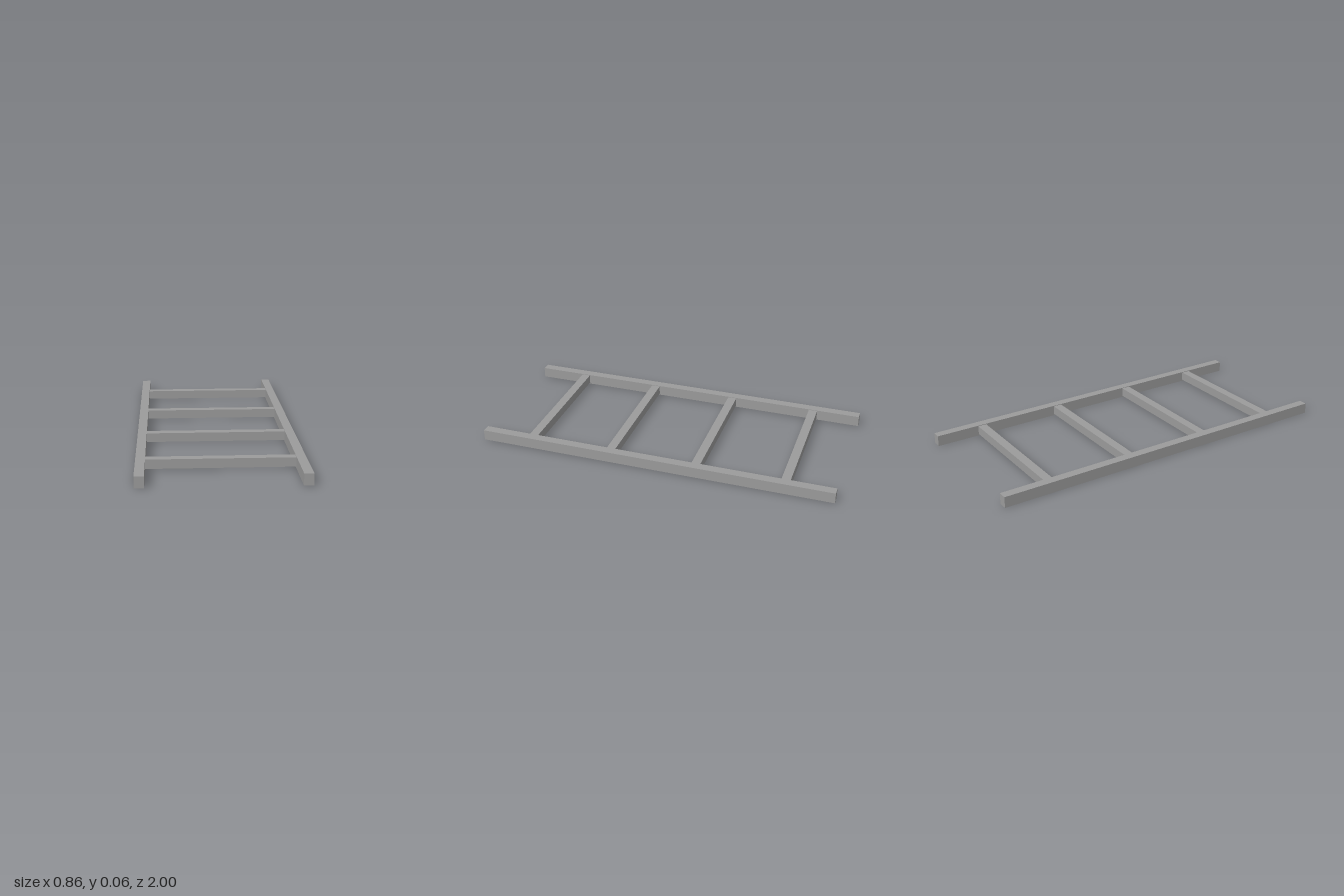
import * as THREE from 'three';

export function createModel() {
  const group = new THREE.Group();
  group.name = 'ladder';
  const material = new THREE.MeshStandardMaterial({ color: 0x9b9b9b, flatShading: true });

  const addBox = (name, size, position) => {
    const mesh = new THREE.Mesh(new THREE.BoxGeometry(...size), material);
    mesh.name = name;
    mesh.position.set(...position);
    group.add(mesh);
  };

  // Two long side rails lying on the ground
  const railX = 0.403;
  for (const [name, side] of [['leftRail', 1], ['rightRail', -1]]) {
    addBox(name, [0.049, 0.06, 2], [side * railX, 0.03, 0]);
  }

  // Four rungs, their ends set slightly into the rails
  [-0.731, -0.24, 0.247, 0.712].forEach((z, i) => {
    addBox(`rung${i + 1}`, [0.77, 0.049, 0.049], [0, 0.0325, z]);
  });

  return group;
}
